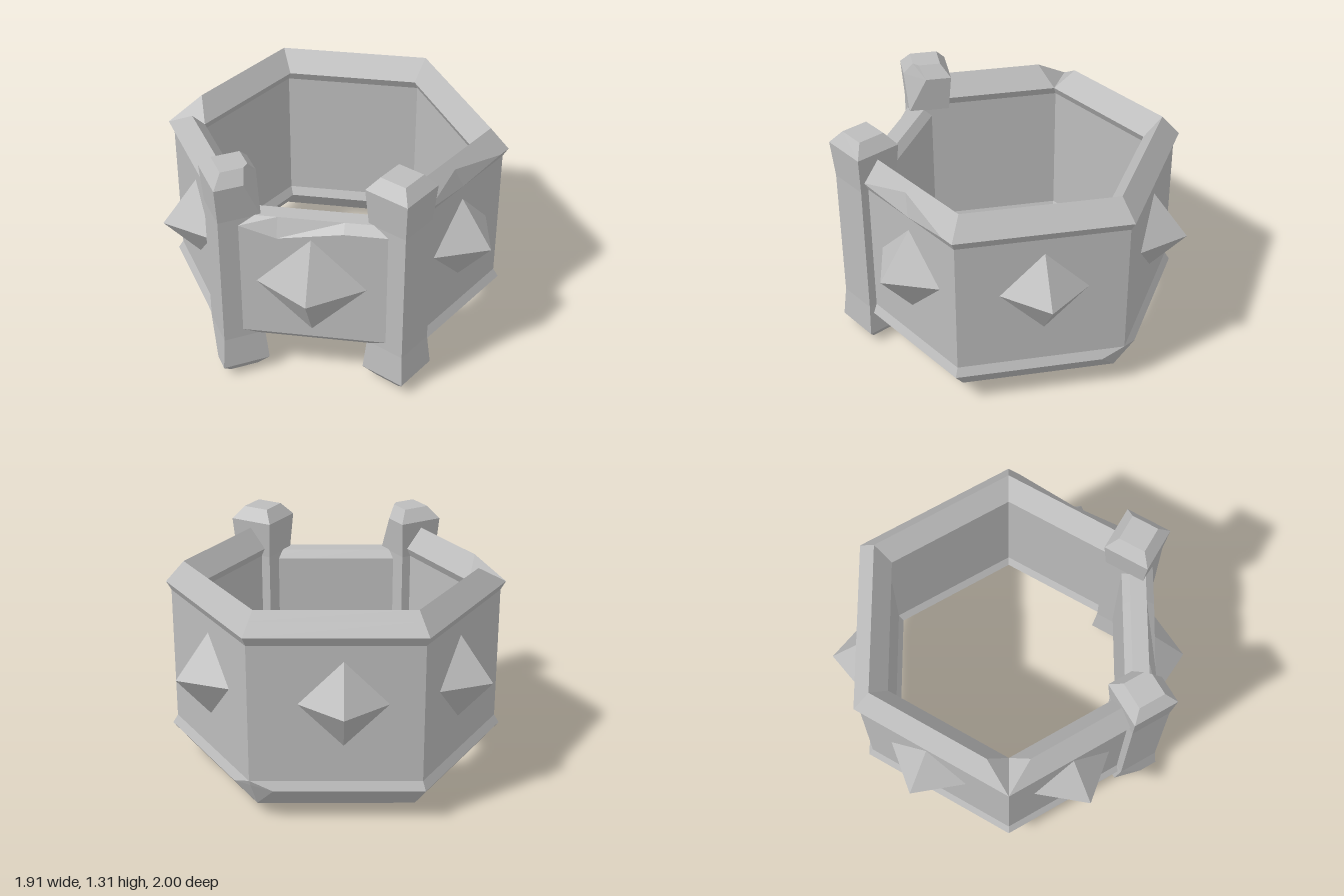
import * as THREE from 'three';

const rad = THREE.MathUtils.degToRad;
const V = (x, y, z) => new THREE.Vector3(x, y, z);

// Skins matching closed cross-sections with flat faces and caps both ends.
function loft(sections) {
  const out = [];
  const tri = (a, b, c) => {
    const area = b.clone().sub(a).cross(c.clone().sub(a)).length();
    if (area > 1e-7) out.push(...a.toArray(), ...b.toArray(), ...c.toArray());
  };
  const n = sections[0].length;
  for (let i = 0; i < sections.length - 1; i++) {
    const p = sections[i], q = sections[i + 1];
    for (let j = 0; j < n; j++) {
      const k = (j + 1) % n;
      tri(p[j], q[j], q[k]);
      tri(p[j], q[k], p[k]);
    }
  }
  const cap = (s, flip) => {
    const c = s.reduce((m, p) => m.add(p), V(0, 0, 0)).divideScalar(n);
    for (let j = 0; j < n; j++) {
      const k = (j + 1) % n;
      if (flip) tri(c, s[k], s[j]); else tri(c, s[j], s[k]);
    }
  };
  cap(sections[0], false);
  cap(sections[sections.length - 1], true);
  const g = new THREE.BufferGeometry();
  g.setAttribute('position', new THREE.Float32BufferAttribute(out, 3));
  g.computeVertexNormals();
  return g;
}

// Hexagonal band, open at the front. Profile points are [distance out, height].
const BAND = [
  [0.80, 1.03], [0.825, 1.08], [0.7725, 1.15], [0.735, 1.20], [0.645, 1.08], [0.67, 1.03],
  [0.67, 0.25], [0.645, 0.20], [0.735, 0.08], [0.825, 0.20], [0.80, 0.25],
];

// One band section: side angle, place along the side (-1..1), and edits per profile point.
function bandSection(deg, u, edits = {}) {
  const s = Math.sin(rad(deg)), c = Math.cos(rad(deg));
  return BAND.map(([a0, y0], i) => {
    const e = edits[i] || {};
    const a = e.a ?? a0, y = e.y ?? y0;
    const t = a * Math.tan(rad(30)) * (e.u ?? u);
    return V(s * a + c * t, y, c * a - s * t);
  });
}

function bandGeometry() {
  return loft([
    // front-left side with a dent in the upper rim
    bandSection(60, -0.85),
    bandSection(60, -0.575, { 2: { u: 0.07 } }),
    bandSection(60, 0.17, { 1: { a: 0.801, y: 1.032 }, 2: { u: 0.07 } }),
    bandSection(60, 0.83, { 2: { u: 0.07 } }),
    bandSection(60, 1),
    // chipped lower corner at the back
    bandSection(120, 1, { 9: { u: 0.7 } }),
    bandSection(120, 1, { 9: { a: 0.79, y: 0.22 } }),
    bandSection(180, -1, { 9: { u: -0.7 } }),
    bandSection(180, 1),
    // notch in the upper ridge at the side corner
    bandSection(240, 1, { 2: { u: 0.828 }, 3: { u: 0.69 } }),
    bandSection(240, 1, { 2: { y: 1.08 }, 3: { y: 1.08 } }),
    bandSection(300, -1, { 2: { u: -0.828 }, 3: { u: -0.69 } }),
    bandSection(300, 0.85),
  ]);
}

// Bevelled front panel with a chip in its upper edge; profile is [z, y].
function panelGeometry() {
  const profile = [
    [0.805, 0.99], [0.76, 1.035], [0.67, 1.035], [0.63, 0.99],
    [0.63, 0.30], [0.67, 0.25], [0.76, 0.25], [0.805, 0.30],
  ];
  return loft([-0.42, -0.39, -0.19, 0.16, 0.42].map((x) =>
    profile.map(([z, y], i) => V(x, i === 0 && x === -0.19 ? 0.93 : y, z))));
}

// Square post with flared ends. chips[level][corner] = cut towards previous and next corner.
const POST = [[0, 0.11], [0.07, 0.187], [0.25, 0.165], [1.03, 0.165], [1.24, 0.187], [1.31, 0.11]];

function postGeometry(turn, chips = {}) {
  return loft(POST.map(([y, r], level) => {
    const corner = (k) => V(r * Math.sin(rad(turn - 90 * k)), y, r * Math.cos(rad(turn - 90 * k)));
    const pts = [];
    for (let k = 0; k < 4; k++) {
      const [before, after] = chips[level]?.[k] || [0, 0];
      pts.push(corner(k).lerp(corner(k - 1), before), corner(k).lerp(corner(k + 1), after));
    }
    return pts;
  }));
}

// Four-sided stud with its point along +z.
function spikeGeometry(r) {
  const g = new THREE.ConeGeometry(r, 0.2, 4, 1).toNonIndexed();
  g.rotateX(Math.PI / 2);
  g.computeVertexNormals();
  return g;
}

export function createModel() {
  const model = new THREE.Group();
  model.name = 'spikedBracelet';
  const metal = new THREE.MeshStandardMaterial({ color: 0xbcbcbc });
  metal.name = 'grey metal';
  const add = (name, geometry) => {
    const mesh = new THREE.Mesh(geometry, metal);
    mesh.name = name;
    model.add(mesh);
    return mesh;
  };

  add('band', bandGeometry());
  add('frontPanel', panelGeometry());

  // posts joining the panel to the band
  add('leftPost', postGeometry(15)).position.set(0.44, 0, 0.70);
  const lowChip = { 1: [0.6, 0.15] };
  add('rightPost', postGeometry(-15, {
    0: lowChip, 1: lowChip, 4: { 3: [0.45, 0.4] }, 5: { 3: [0.2, 0.2] },
  })).position.set(-0.44, 0, 0.70);

  // one spike per side: angle, shift along the side, height, size
  const spikes = [
    [0, -0.01, 0.645, 0.30], [60, 0.08, 0.70, 0.25], [120, 0.01, 0.70, 0.24],
    [180, 0.04, 0.70, 0.24], [240, -0.05, 0.70, 0.24], [300, -0.06, 0.70, 0.24],
  ];
  for (const [deg, shift, y, r] of spikes) {
    const s = Math.sin(rad(deg)), c = Math.cos(rad(deg));
    const spike = add('spike', spikeGeometry(r));
    spike.rotation.y = rad(deg);
    spike.position.set(s * 0.9 + c * shift, y, c * 0.9 - s * shift);
  }
  return model;
}
